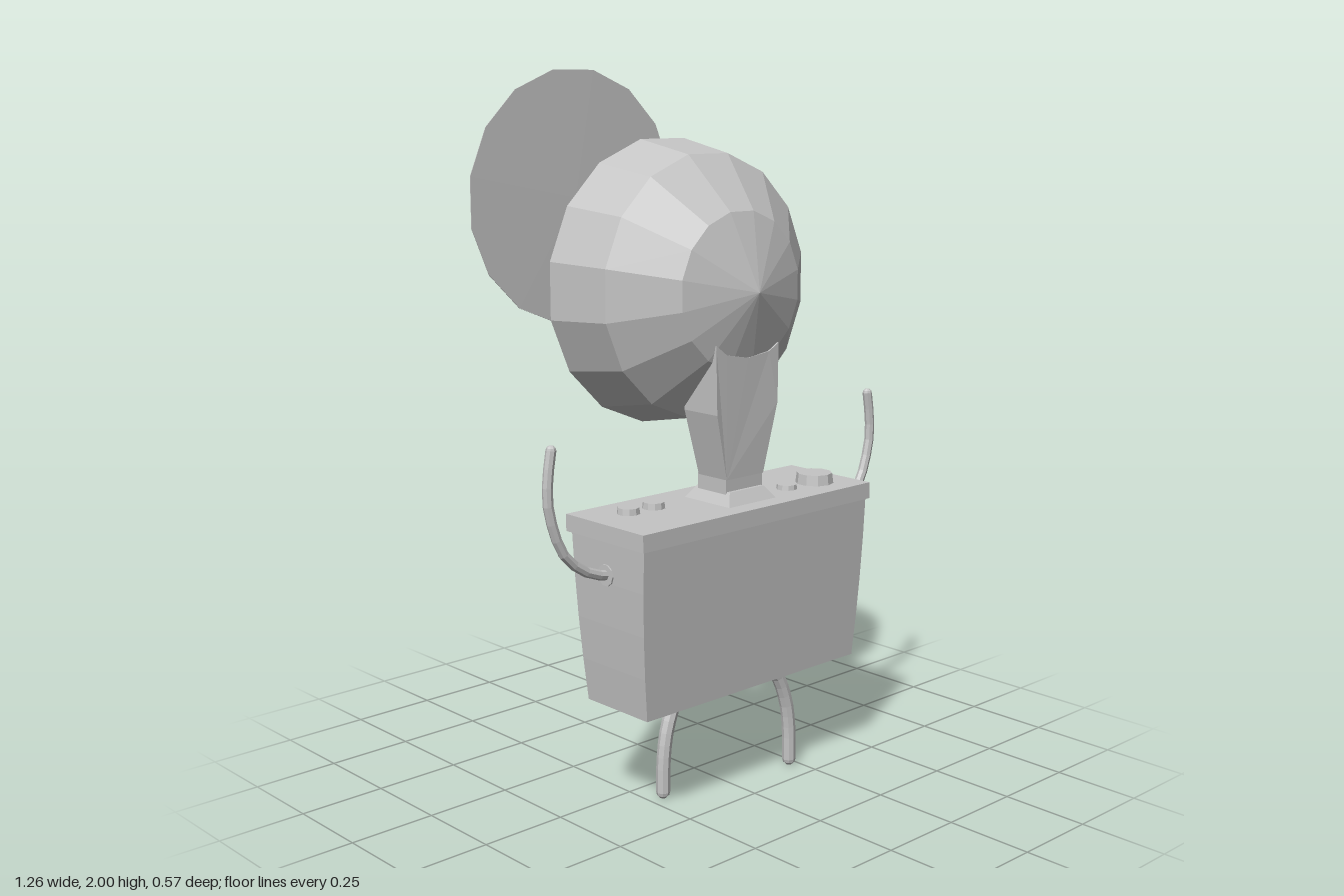
import * as THREE from 'three';

const grey = new THREE.MeshStandardMaterial({ color: 0xc4c4c4, flatShading: true });
grey.name = 'plain grey';

export function createModel() {
  const model = new THREE.Group();
  const add = (name, geometry, x = 0, y = 0, z = 0, parent = model) => {
    const mesh = new THREE.Mesh(geometry, grey);
    mesh.name = name;
    mesh.position.set(x, y, z);
    parent.add(mesh);
    return mesh;
  };
  // Lathe turned so that its axis runs along z; points are [radius, z]
  const latheZ = (points, sides) => new THREE.LatheGeometry(
    points.map(([r, z]) => new THREE.Vector2(r, z)), sides, Math.PI / sides).rotateX(Math.PI / 2);

  // Body: box tapering downwards with slightly bowed ends
  const body = new THREE.BoxGeometry(2, 1, 2, 1, 4, 1);
  const p = body.attributes.position;
  for (let i = 0; i < p.count; i++) {
    const t = 0.5 - p.getY(i); // 0 at the top, 1 at the bottom
    const halfX = 0.427 - 0.025 * t * t;
    const halfZ = 0.145 - 0.025 * t;
    p.setXYZ(i, p.getX(i) * halfX + 0.005 * t, 0.315 + 0.477 * (1 - t), p.getZ(i) * halfZ + 0.123);
  }
  add('body', body);
  add('lid', new THREE.BoxGeometry(0.87, 0.047, 0.31), -0.005, 0.813, 0.125);

  // Lens on the back
  add('lens', latheZ([[0, -0.18], [0.16, -0.18], [0.16, -0.13], [0.145, -0.13], [0.145, 0.02]], 12), 0.005, 0.59, 0);

  // Buttons: x, z, radius, height
  for (const [x, z, r, h] of [[-0.315, 0.08, 0.032, 0.018], [-0.225, 0.08, 0.032, 0.018],
    [0.2, 0.17, 0.03, 0.014], [0.315, 0.17, 0.055, 0.03]]) {
    add('button', new THREE.CylinderGeometry(r * 0.93, r, h, 10), x, 0.836 + h / 2, z);
  }

  // Foot, neck and bracket holding the dish
  const foot = new THREE.CylinderGeometry(0.065 * Math.SQRT2, 0.09 * Math.SQRT2, 0.036, 4).rotateY(Math.PI / 4);
  add('bracketFoot', foot, 0.01, 0.853, 0.135);
  add('bracketNeck', new THREE.BoxGeometry(0.14, 0.045, 0.11), 0.01, 0.887, 0.135);
  const outline = [[-0.06, 0.905], [0.08, 0.905], [0.125, 1.1], [0.127, 1.265], [0.09, 1.245],
    [0.01, 1.235], [-0.07, 1.25], [-0.11, 1.28], [-0.105, 1.09]];
  const bracketShape = new THREE.Shape(outline.map(([x, y]) => new THREE.Vector2(x, y)));
  const bracket = new THREE.ExtrudeGeometry(bracketShape, { depth: 0.13, bevelEnabled: false });
  const b = bracket.attributes.position;
  for (let i = 0; i < b.count; i++) { // thinner towards the base
    const k = 0.85 + 0.15 * Math.min(1, (b.getY(i) - 0.905) / 0.2);
    b.setZ(i, 0.138 + (b.getZ(i) - 0.065) * k);
  }
  add('bracket', bracket);

  // Hollow dish, opening backwards, with a bulb inside
  const dish = new THREE.Group();
  dish.name = 'dish';
  dish.position.set(0.002, 1.417, 0);
  dish.rotation.y = -0.03;
  model.add(dish);
  add('dishShell', latheZ([[0, 0.235], [0.19, 0.17], [0.335, 0.05], [0.365, -0.148], [0.385, -0.155],
    [0.402, -0.135], [0.365, 0.055], [0.215, 0.19], [0, 0.26]], 16), 0, 0, 0, dish);
  add('bulb', latheZ([[0, 0.005], [0.05, 0.02], [0.085, 0.07], [0.085, 0.11], [0.05, 0.16], [0.05, 0.24]], 8), 0, 0, 0, dish);

  // Thin loose cover disc behind the dish
  const disc = add('coverDisc', latheZ([[0, -0.005], [0.352, -0.001], [0.352, 0.001], [0, 0.004]], 16), -0.195, 1.652, -0.275);
  disc.rotation.y = -0.03;

  // Rounded limbs swept along a curve
  const limb = (name, points, radius) => {
    const path = points.map((q) => new THREE.Vector3(...q));
    const curve = new THREE.CatmullRomCurve3(path);
    add(name, new THREE.TubeGeometry(curve, 10, radius, 8));
    const end = path[path.length - 1];
    add(name + 'Tip', new THREE.SphereGeometry(radius, 8, 6), end.x, end.y, end.z);
  };
  for (const side of [1, -1]) {
    const label = side > 0 ? 'left' : 'right';
    limb(label + 'Arm', [[0.4, 0.69], [0.48, 0.71], [0.565, 0.775], [0.612, 0.9], [0.615, 0.97], [0.602, 1.055]]
      .map(([x, y]) => [side * x, y, 0.115]), 0.014);
    const collar = new THREE.CylinderGeometry(0.03, 0.03, 0.02, 10).rotateZ(Math.PI / 2);
    add(label + 'ArmCollar', collar, side * 0.419, 0.695, 0.115);
    const z = side > 0 ? 0.17 : 0.097;
    limb(label + 'Leg', [[0.12, 0.335], [0.165, 0.285], [0.2, 0.2], [0.213, 0.12], [0.216, 0.02]]
      .map(([x, y]) => [side * x + 0.006, y, z]), 0.02);
  }
  return model;
}
